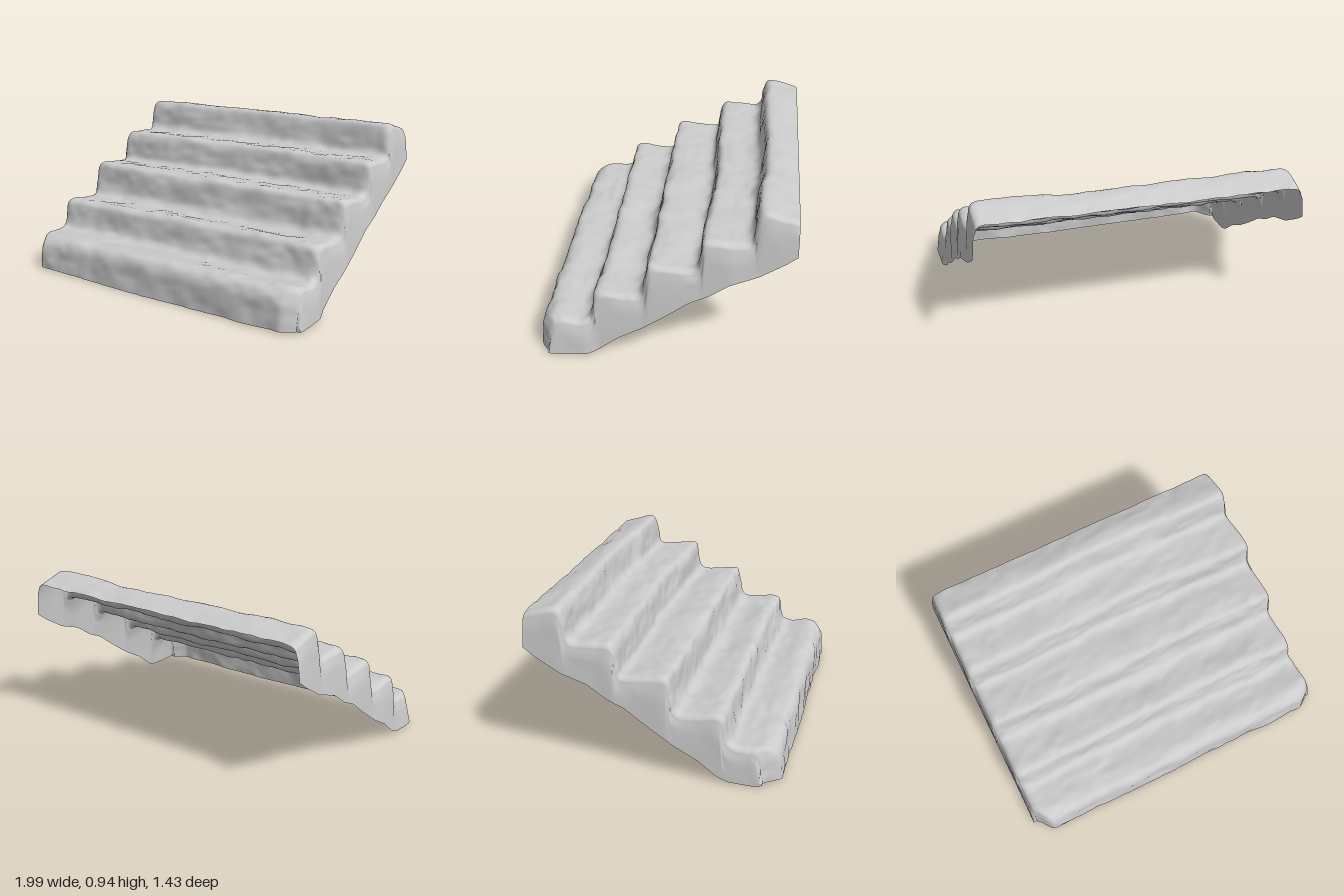
import * as THREE from 'three';

// Stair profile from the foot of the first riser to the back of the top tread: [z, y]
const PROFILE = [
  [0.70, 0.02], [0.695, 0.10], [0.685, 0.18], [0.66, 0.215], [0.62, 0.228], [0.52, 0.222],
  [0.45, 0.222], [0.42, 0.24], [0.405, 0.28], [0.392, 0.34], [0.378, 0.385], [0.35, 0.402],
  [0.29, 0.397], [0.20, 0.383], [0.15, 0.387], [0.122, 0.41], [0.105, 0.47], [0.092, 0.55],
  [0.08, 0.58], [0.05, 0.59], [-0.05, 0.582], [-0.16, 0.572], [-0.187, 0.585], [-0.20, 0.64],
  [-0.215, 0.725], [-0.235, 0.753], [-0.30, 0.755], [-0.40, 0.745], [-0.45, 0.75], [-0.475, 0.772],
  [-0.488, 0.82], [-0.50, 0.88], [-0.517, 0.92], [-0.54, 0.932], [-0.62, 0.918], [-0.72, 0.885],
];
// Lower edge of the side walls [z, y] and the right side's outline [z, x]
const UNDERSIDE = [
  [-0.72, 0.70], [-0.66, 0.655], [-0.52, 0.57], [-0.36, 0.515], [-0.25, 0.44], [-0.15, 0.395],
  [0, 0.285], [0.12, 0.205], [0.25, 0.135], [0.36, 0.05], [0.42, 0.025], [0.55, 0.018], [0.72, 0.025],
];
const RIGHT_EDGE = [
  [-0.72, 0.91], [-0.5, 0.92], [-0.35, 0.94], [0.1, 0.955], [0.38, 0.962], [0.45, 0.985], [0.72, 0.995],
];

function lookup(table, z) {
  if (z <= table[0][0]) return table[0][1];
  for (let i = 1; i < table.length; i++) {
    const [z0, v0] = table[i - 1], [z1, v1] = table[i];
    if (z <= z1) return THREE.MathUtils.lerp(v0, v1, (z - z0) / (z1 - z0));
  }
  return table[table.length - 1][1];
}

// Smooth value noise in two dimensions, from -1 to 1
function hash(i, j) {
  const s = Math.sin(i * 127.1 + j * 311.7) * 43758.5453;
  return (s - Math.floor(s)) * 2 - 1;
}
function noise(a, b) {
  const i = Math.floor(a), j = Math.floor(b);
  const u = THREE.MathUtils.smoothstep(a - i, 0, 1), v = THREE.MathUtils.smoothstep(b - j, 0, 1);
  const { lerp } = THREE.MathUtils;
  return lerp(lerp(hash(i, j), hash(i + 1, j), u), lerp(hash(i, j + 1), hash(i + 1, j + 1), u), v);
}

const WALL = 6, TOP = 96, ROWS = 130, ROUND = 0.05;

function stairGeometry() {
  const curve = new THREE.CatmullRomCurve3(PROFILE.map(([z, y]) => new THREE.Vector3(0, y, z)));
  const points = curve.getSpacedPoints(ROWS);
  const cols = TOP + 2 * WALL;
  const geometry = new THREE.PlaneGeometry(1, 1, cols, ROWS);
  const pos = geometry.attributes.position;

  for (let r = 0; r <= ROWS; r++) {
    const t = 1 - r / ROWS;
    const p = points[ROWS - r];
    for (let c = 0; c <= cols; c++) {
      // Columns run up the left wall, across the stair, then down the right wall
      const across = THREE.MathUtils.clamp((c - WALL) / TOP, 0, 1);
      const down = Math.max(WALL - c, c - WALL - TOP, 0) / WALL;
      const side = -Math.cos(across * Math.PI);
      const right = lookup(RIGHT_EDGE, p.z);
      const x0 = THREE.MathUtils.lerp(-0.975, right - 0.025, (side + 1) / 2);

      // Rounded shoulder where the treads meet the walls
      const d = 1 - Math.abs(side);
      const k = d < ROUND ? 1 - Math.sqrt(1 - (1 - d / ROUND) ** 2) : 0;

      // Worn, slightly uneven surface
      const foot = THREE.MathUtils.smoothstep(t, 0, 0.06);
      const back = 1 - THREE.MathUtils.smoothstep(t, 0.93, 1);
      const rough = 0.007 * noise(x0 * 6 + 20, t * 22) + 0.004 * noise(x0 * 17 + 50, t * 50);
      const bow = p.z < 0 ? -0.025 * Math.exp(-8 * (x0 - 0.05) ** 2) * back : 0;
      const front = THREE.MathUtils.smoothstep(p.z, 0.5, 0.7);
      const corner = (x0 < 0 ? 0.08 : 0.04) * THREE.MathUtils.smoothstep(Math.abs(side), 0.91, 1) * front;

      let z = p.z + (rough + bow - 0.015 * k) * back - corner;
      z = Math.max(z, -0.72);
      let y = p.y + (rough + 0.012 * x0) * foot - 0.035 * k * foot;
      y -= 0.012 * (1 - foot) * Math.cos(x0 * Math.PI / 2);

      // Side walls spread a little towards their open lower edge
      let x = x0;
      if (down > 0) {
        const low = lookup(UNDERSIDE, z) - (x0 < 0 ? 0.01 * foot : 0);
        x += Math.sign(x0) * 0.025 * Math.sqrt(down) + 0.004 * noise(z * 12, y * 12 + down * 3) * (1 - down);
        y = THREE.MathUtils.lerp(y, Math.min(low, y), down);
      }
      pos.setXYZ(r * (cols + 1) + c, x, Math.max(y, 0), z);
    }
  }
  geometry.computeVertexNormals();
  return geometry;
}

export function createModel() {
  const group = new THREE.Group();
  group.name = 'stoneStairs';
  // Open shell: treads, risers and side walls, with no back or bottom
  const material = new THREE.MeshStandardMaterial({ color: 0xcccccc, side: THREE.DoubleSide });
  const stairs = new THREE.Mesh(stairGeometry(), material);
  stairs.name = 'stairShell';
  group.add(stairs);
  return group;
}
